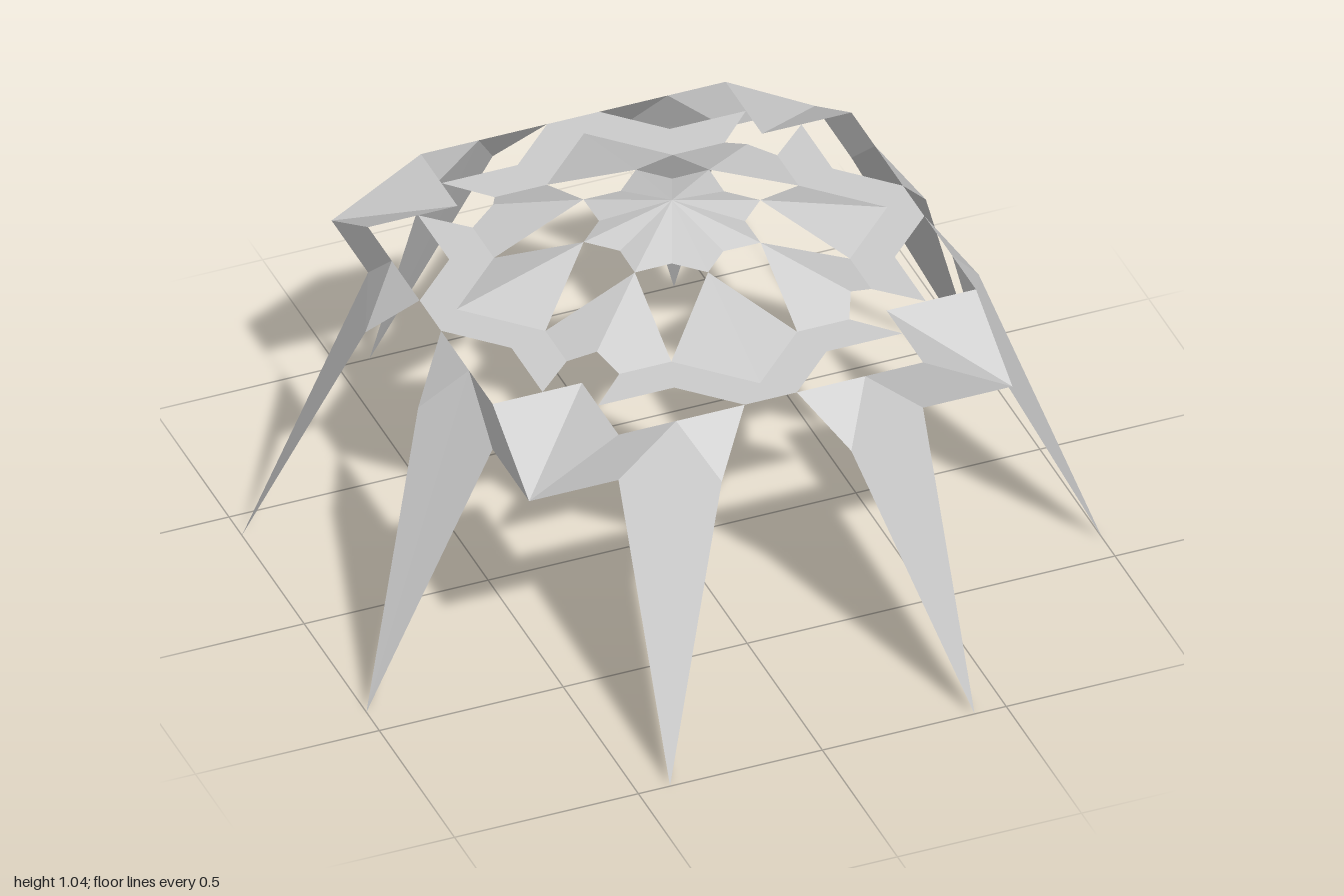
import * as THREE from 'three';

// Levels of the folded sheet
const TOP = 1.04, STAR = 0.975, RING = 0.86, EAVE = 0.72;

const material = new THREE.MeshStandardMaterial({
  color: 0xcccccc, flatShading: true, side: THREE.DoubleSide,
});

// Corner points of one eighth of the plan (0 <= x <= z)
const apex = [0, TOP, 0];
const starTip = [0, STAR, 0.24], starNotch = [0.07, STAR, 0.17], starCorner = [0.171, STAR, 0.171];
const petalSide = [0.171, RING, 0.414], petalEnd = [0, RING, 0.585];
const notchRidge = [0.345, 0.892, 0.345], notchSide = [0.313, RING, 0.414];
const ringMid = [0, RING, 0.657], ringEdge = [0.071, RING, 0.657];
const ringElbow = [0.207, RING, 0.521], ringSpike = [0.414, RING, 0.521];
const legKnee = [0.176, EAVE, 0.762], legTop = [0.257, RING, 0.657];
const legTip = [0.414, 0, 1], legBack = [0.414, EAVE, 0.657];
const cornerSide = [0.414, RING, 0.657], cornerTip = [0.657, EAVE, 0.657], cornerInner = [0.414, RING, 0.414];

// Convex faces of each part, counter-clockwise from outside
const parts = {
  centreStar: [[apex, starTip, starNotch], [apex, starNotch, starCorner]],
  cardinalPetal: [[starTip, petalEnd, petalSide]],
  diagonalPetal: [[starCorner, petalSide, notchSide, notchRidge]],
  flatRing: [
    [petalEnd, ringMid, ringEdge, ringElbow, petalSide],
    [ringElbow, ringSpike, notchSide, petalSide],
  ],
  leg: [[ringEdge, legKnee, legTop], [legTop, legKnee, legTip, legBack]],
  cornerPanel: [[legTop, legBack, cornerTip, cornerSide]],
  cornerRoof: [[cornerSide, cornerTip, cornerInner]],
};

// Fan each face into triangles; side -1 mirrors the part across x
function foldedGeometry(faces, side) {
  const pos = [];
  for (const face of faces) {
    const pts = face.map(([x, y, z]) => [x * side, y, z]);
    if (side < 0) pts.reverse();
    for (let i = 1; i < pts.length - 1; i++) pos.push(...pts[0], ...pts[i], ...pts[i + 1]);
  }
  const geometry = new THREE.BufferGeometry();
  geometry.setAttribute('position', new THREE.Float32BufferAttribute(pos, 3));
  geometry.computeVertexNormals();
  return geometry;
}

export function createModel() {
  const model = new THREE.Group();
  model.name = 'foldedStarCanopy';
  for (const [name, faces] of Object.entries(parts)) {
    const group = new THREE.Group();
    group.name = name;
    // Two mirrored halves, repeated at every quarter turn
    for (const side of [1, -1]) {
      const geometry = foldedGeometry(faces, side);
      for (let quarter = 0; quarter < 4; quarter++) {
        const mesh = new THREE.Mesh(geometry, material);
        mesh.name = name + (side > 0 ? 'Left' : 'Right') + (quarter + 1);
        mesh.rotation.y = quarter * Math.PI / 2;
        group.add(mesh);
      }
    }
    model.add(group);
  }
  return model;
}
